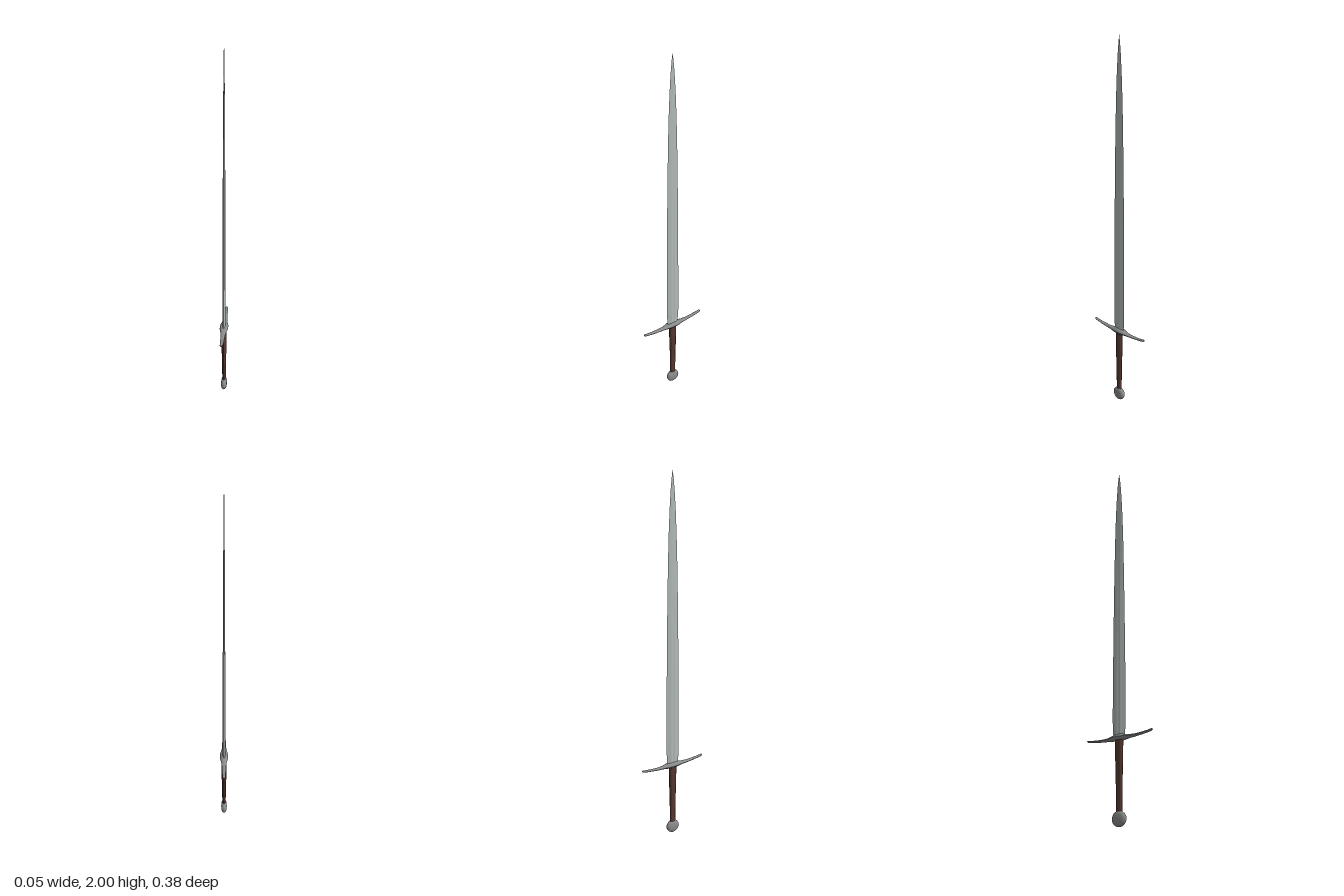
import * as THREE from 'three';
import { toCreasedNormals } from 'three/addons/utils/BufferGeometryUtils.js';

// Skin closed rings of [x, y, z] points, with flat caps at both ends
function loft(rings, crease) {
  const n = rings[0].length, index = [];
  rings.slice(1).forEach((_, r) => {
    for (let i = 0; i < n; i++) {
      const a = r * n + i, b = r * n + (i + 1) % n;
      index.push(a, a + n, b, b, a + n, b + n);
    }
  });
  const last = (rings.length - 1) * n;
  for (let i = 1; i < n - 1; i++) {
    index.push(0, i, i + 1, last, last + i + 1, last + i);
  }
  const geo = new THREE.BufferGeometry();
  geo.setAttribute('position', new THREE.Float32BufferAttribute(rings.flat(2), 3));
  geo.setIndex(index);
  return toCreasedNormals(geo, crease);
}

const circle = (n, f) => Array.from({ length: n }, (_, i) => {
  const a = i / n * Math.PI * 2;
  return f(Math.cos(a), Math.sin(a));
});

export function createModel() {
  const group = new THREE.Group();
  const bladeSteel = new THREE.MeshStandardMaterial({ color: 0xb2baba });
  const fittingSteel = new THREE.MeshStandardMaterial({ color: 0x8a8b8b });
  const leather = new THREE.MeshStandardMaterial({ color: 0x593b31 });

  const add = (name, geometry, material) => {
    const mesh = new THREE.Mesh(geometry, material);
    mesh.name = name;
    group.add(mesh);
  };

  // Blade: height, half width, half thickness, fuller depth
  const blade = [
    [0.43, 0.034, 0.008, 0.0015], [0.47, 0.036, 0.008, 0.002], [0.52, 0.039, 0.008, 0.002],
    [0.75, 0.038, 0.0075, 0.002], [1.1, 0.0345, 0.0065, 0.0015], [1.35, 0.031, 0.0055, 0.001],
    [1.55, 0.027, 0.0045, 0], [1.7, 0.0225, 0.0035, 0], [1.82, 0.017, 0.003, 0],
    [1.91, 0.011, 0.002, 0], [1.965, 0.0055, 0.0015, 0], [2, 0.0006, 0.0004, 0],
  ].map(([y, w, t, d]) => [
    [t - d, y, 0], [t, y, w * 0.3], [0, y, w], [-t, y, w * 0.3],
    [d - t, y, 0], [-t, y, -w * 0.3], [0, y, -w], [t, y, -w * 0.3],
  ]);
  add('blade', loft(blade, 0.3), bladeSteel);

  // Crossguard: distance from centre, half thickness, half height, centre height
  const arm = [
    [0, 0.0235, 0.017, 0.431], [0.02, 0.0225, 0.016, 0.430], [0.04, 0.018, 0.0125, 0.429],
    [0.06, 0.0135, 0.009, 0.428], [0.09, 0.0115, 0.007, 0.428], [0.13, 0.010, 0.006, 0.431],
    [0.165, 0.0085, 0.0055, 0.435], [0.185, 0.0075, 0.0055, 0.439], [0.19, 0.005, 0.004, 0.440],
  ];
  const guard = [...arm.slice(1).reverse().map(([z, ...r]) => [-z, ...r]), ...arm]
    .map(([z, w, h, y]) => circle(12, (c, s) => [w * c, y - h * s, z]));
  add('crossguard', loft(guard, 0.7), fittingSteel);

  // Grip: an oval handle with a slightly thicker upper wrap
  const grip = [
    [0.07, 0.010, 0.017], [0.245, 0.0115, 0.0185], [0.25, 0.013, 0.020], [0.422, 0.014, 0.0225],
  ].map(([y, w, d]) => circle(16, (c, s) => [w * c, y, d * s]));
  add('grip', loft(grip, 0.6), leather);

  // Pommel: a wheel with domed faces turned to the sides
  const profile = [
    [0, -0.0165], [0.02, -0.0155], [0.03, -0.0125], [0.0365, -0.007], [0.038, 0],
    [0.0365, 0.007], [0.03, 0.0125], [0.02, 0.0155], [0, 0.0165],
  ].map(([r, y]) => new THREE.Vector2(r, y));
  const pommel = new THREE.LatheGeometry(profile, 24);
  pommel.rotateZ(Math.PI / 2);
  pommel.translate(0, 0.038, 0);
  add('pommel', pommel, fittingSteel);

  return group;
}
